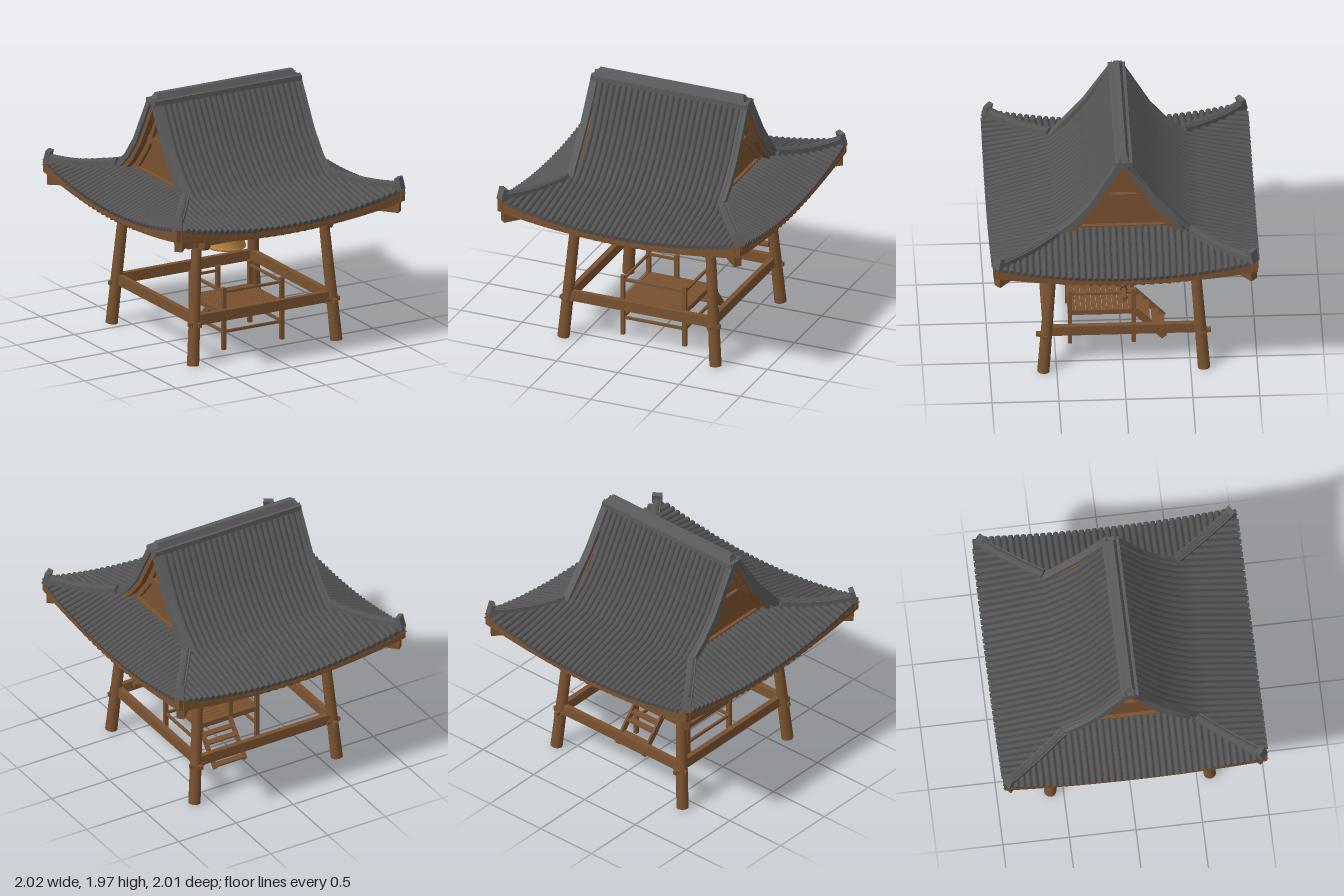
import * as THREE from 'three';
import { mergeGeometries } from 'three/addons/utils/BufferGeometryUtils.js';

const V = (x, y, z) => new THREE.Vector3(x, y, z);
const mat = (color, extra) => new THREE.MeshStandardMaterial({ color, ...extra });
const wood = mat(0x7a5230), woodThin = mat(0x6b4728, { side: THREE.DoubleSide });
const tile = mat(0x555555), tileFlat = mat(0x5c5c5c, { flatShading: true });
const tileThin = mat(0x484848, { side: THREE.DoubleSide });
const bronze = mat(0xc68a48), rope = mat(0x3a3028);

function add(parent, name, geo, material, x = 0, y = 0, z = 0) {
  const m = new THREE.Mesh(geo, material);
  m.name = name;
  m.position.set(x, y, z);
  parent.add(m);
  return m;
}
const box = (p, name, w, h, d, x, y, z, m = wood) => add(p, name, new THREE.BoxGeometry(w, h, d), m, x, y, z);

// Rectangular beam between two points
function beam(p, name, a, b, w, h, m = wood) {
  const o = add(p, name, new THREE.BoxGeometry(w, h, a.distanceTo(b)), m);
  o.position.lerpVectors(a, b, 0.5);
  o.lookAt(b);
}
// Round pole between two points
function pole(p, name, a, b, r0, r1, m = wood, sides = 20) {
  const o = add(p, name, new THREE.CylinderGeometry(r1, r0, a.distanceTo(b), sides), m);
  o.position.lerpVectors(a, b, 0.5);
  o.quaternion.setFromUnitVectors(V(0, 1, 0), b.clone().sub(a).normalize());
}
// Capped sweep of an n-sided section along a path
function sweep(path, side, w, h, n, phase = 0) {
  const pos = [], idx = [], last = path.length - 1;
  const ring = (i) => {
    const t = path[Math.min(i + 1, last)].clone().sub(path[Math.max(i - 1, 0)]).normalize();
    const s = side.clone(), up = t.clone().cross(s);
    if (up.y < 0) { s.negate(); up.negate(); }
    for (let j = 0; j < n; j++) {
      const a = phase + j / n * Math.PI * 2;
      const q = path[i].clone().addScaledVector(s, w * Math.cos(a)).addScaledVector(up, h * Math.sin(a));
      pos.push(q.x, q.y, q.z);
    }
  };
  for (let i = 0; i <= last; i++) ring(i);
  ring(0); ring(last);
  for (let i = 0; i < last; i++) for (let j = 0; j < n; j++) {
    const a = i * n + j, b = i * n + (j + 1) % n;
    idx.push(a, b, b + n, a, b + n, a + n);
  }
  const c0 = (last + 1) * n, c1 = c0 + n;
  for (let j = 1; j < n - 1; j++) idx.push(c0, c0 + j + 1, c0 + j, c1, c1 + j, c1 + j + 1);
  return indexed(pos, idx);
}
// Grid surface from a rule f(u, v)
function sheet(f, nu, nv) {
  const pos = [], idx = [], row = nu + 1;
  for (let j = 0; j <= nv; j++) for (let i = 0; i <= nu; i++) pos.push(...f(i / nu * 2 - 1, j / nv).toArray());
  for (let j = 0; j < nv; j++) for (let i = 0; i < nu; i++) {
    const a = j * row + i;
    idx.push(a, a + row, a + row + 1, a, a + row + 1, a + 1);
  }
  return indexed(pos, idx);
}
function indexed(pos, idx) {
  const g = new THREE.BufferGeometry();
  g.setAttribute('position', new THREE.Float32BufferAttribute(pos, 3));
  g.setIndex(idx);
  g.computeVertexNormals();
  return g;
}

// Roof rules: s is 0 at the foot of the gable roof and 1 at the eave
const GX = 0.63, GZ = 0.5;
const upper = [[0.02, 1.92], [0.05, 1.87], [0.14, 1.71], [0.235, 1.54], [0.36, 1.385], [0.5, 1.265]];
function upperY(z) {
  const i = Math.max(1, upper.findIndex((p) => p[0] >= z));
  const [a, b] = [upper[i - 1], upper[i]];
  return a[1] + (b[1] - a[1]) * (z - a[0]) / (b[0] - a[0]);
}
const lift = (s, u) => 0.13 * s * s * u * u;
const skirtY = (s, u) => 1.265 - 0.16 * s + lift(s, u);
const soffitY = (s, u) => 1.15 - 0.085 * s + lift(s, u);
const hipX = (s) => GX + (1 - GX) * Math.max(s, 0), hipZ = (s) => GZ + (1 - GZ) * Math.max(s, 0);
function frontPoint(x, z) {
  const s = (z - GZ) / (1 - GZ);
  return V(x, s < 0 ? upperY(z) : skirtY(s, x / hipX(s)), z);
}
function sidePoint(x, z) {
  const s = Math.max(0, (x - GX) / (1 - GX));
  return V(x, skirtY(s, z / hipZ(s)), z);
}
const steps = (a, b, n) => Array.from({ length: n + 1 }, (_, i) => a + (b - a) * i / n);

// Half of the roof: front slope and the +x gable end
function roofHalf() {
  const g = new THREE.Group(), ribs = [];
  for (let i = -18.5; i <= 18.5; i++) {
    const c = i * 0.0485, a = Math.abs(c);
    const z0 = GZ + (1 - GZ) * (a - GX) / (1 - GX);
    const zs = a < GX ? [...upper.map((p) => p[0]), ...steps(0.6, 1, 4)] : steps(z0, 1, 5);
    ribs.push(sweep(zs.map((z) => frontPoint(c, z)), V(1, 0, 0), 0.021, 0.021, 8));
    const x0 = a < GZ ? 0.54 : GX + (1 - GX) * (a - GZ) / (1 - GZ);
    ribs.push(sweep(steps(x0, 1, 6).map((x) => sidePoint(x, c)), V(0, 0, 1), 0.021, 0.021, 8));
  }
  add(g, 'roofTileRows', mergeGeometries(ribs), tile);
  const zAt = (v) => 0.02 + 0.97 * v, sAt = (z) => (z - GZ) / (1 - GZ);
  const front = (dy) => sheet((u, v) => {
    const z = zAt(v), p = frontPoint(u * hipX(sAt(z)), z);
    p.y -= dy;
    return p;
  }, 20, 30);
  add(g, 'frontRoofBed', front(0), tileThin);
  add(g, 'frontRoofLining', front(0.03), woodThin);
  add(g, 'sideRoofBed', sheet((u, v) => {
    const x = 0.54 + 0.45 * v;
    return sidePoint(x, -u * hipZ((x - GX) / (1 - GX)));
  }, 20, 12), tileThin);
  // Soffit boards and rafters
  add(g, 'frontSoffit', sheet((u, s) => V(u * hipX(s), soffitY(s, u), hipZ(s) - 0.01), 20, 8), woodThin);
  add(g, 'sideSoffit', sheet((u, s) => V(hipX(s) - 0.01, soffitY(s, u), -u * hipZ(s)), 20, 8), woodThin);
  for (let i = -14; i <= 14; i++) {
    const c = i * 0.065, a = Math.abs(c);
    const s0 = Math.max(0, (a - GX) / (1 - GX)), s1 = Math.max(0, (a - GZ) / (1 - GZ));
    const y = (s, h) => soffitY(s, c / h(s)) - 0.018;
    beam(g, 'frontRafter', V(c, y(s0, hipX), hipZ(s0) - 0.02), V(c, y(0.95, hipX), hipZ(0.95)), 0.028, 0.035);
    beam(g, 'sideRafter', V(hipX(s1) - 0.08, y(s1, hipZ), c), V(hipX(0.95), y(0.95, hipZ), c), 0.028, 0.035);
  }
  // Curved eave boards, deeper toward the corners
  for (const [turn, dz, h, y] of [[0, 0.975, 0.05, 1.08], [0, 0.955, 0.04, 1.055], [1, 0.975, 0.05, 1.08], [1, 0.955, 0.04, 1.055]]) {
    const b = new THREE.BoxGeometry(2 * dz + 0.02, h, 0.025, 28), p = b.attributes.position;
    for (let i = 0; i < p.count; i++) {
      const q = p.getX(i) ** 2;
      p.setY(i, p.getY(i) * (1 + 0.8 * q) + 0.105 * q);
    }
    b.computeVertexNormals();
    b.translate(0, y, dz);
    if (turn) b.rotateY(Math.PI / 2);
    add(g, 'eaveBoard', b, wood);
  }
  // Hip ridges and corner beams
  for (const k of [1, -1]) {
    const at = (s, dy) => V(hipX(s), skirtY(s, 1) + dy, k * hipZ(s));
    const dir = V(GZ * k, 0, GX - 1).normalize();
    add(g, 'hipRidge', sweep(steps(0, 0.9, 8).map((s) => at(s, 0.015)), dir, 0.045, 0.045, 4, Math.PI / 4), tileFlat);
    add(g, 'hipRidgeCap', sweep(steps(0, 0.9, 8).map((s) => at(s, 0.043)), dir, 0.024, 0.016, 8), tile);
    beam(g, 'hipEndTile', at(0.87, 0.035), at(0.93, 0.04), 0.075, 0.1, tileFlat);
    beam(g, 'cornerBeam', V(0.5, 1.11, 0.5 * k), V(0.96, 1.09, 0.96 * k), 0.06, 0.09);
    beam(g, 'cornerBeamTop', V(0.6, 1.15, 0.6 * k), V(0.97, 1.18, 0.97 * k), 0.06, 0.07);
  }
  // Gable: recessed wall, layered barge boards and collar ties
  const line = (d) => upper.map(([z, y]) => [Math.max(0, z - d * 0.8), y - d * 0.6]);
  const outline = (pts) => new THREE.Shape(pts.map(([z, y]) => new THREE.Vector2(-z, y)));
  const mirror = (pts) => pts.map(([z, y]) => [-z, y]).reverse();
  const slab = (name, shape, x, depth, m) => {
    const e = new THREE.ExtrudeGeometry(shape, { depth, bevelEnabled: false });
    e.rotateY(Math.PI / 2);
    add(g, name, e, m, x);
  };
  const wall = line(0.03).map(([z, y]) => [z, Math.max(y, 1.25)]);
  slab('gableWall', outline([...mirror(wall), ...wall]), 0.52, 0.02, wood);
  const band = (name, d0, d1, x, depth, m) => {
    const a = line(d0), b = line(d1);
    for (const f of [1, -1]) slab(name, outline([...a, ...b.reverse()].map(([z, y]) => [z * f, y])), x, depth, m);
  };
  band('gableTileEdge', -0.018, 0.03, 0.585, 0.055, tileFlat);
  band('bargeBoard', 0.028, 0.065, 0.575, 0.045, wood);
  band('innerBargeBoard', 0.06, 0.1, 0.54, 0.025, wood);
  box(g, 'collarTie', 0.035, 0.05, 0.36, 0.55, 1.555, 0);
  box(g, 'gableSill', 0.035, 0.035, 0.86, 0.55, 1.275, 0);
  return g;
}

export function createModel() {
  const model = new THREE.Group();
  model.name = 'bellTower';
  const group = (name) => { const g = new THREE.Group(); g.name = name; model.add(g); return g; };

  // Roof
  const roof = group('roof');
  for (const turn of [0, Math.PI]) {
    const half = roofHalf();
    half.name = 'roofHalf';
    half.rotation.y = turn;
    roof.add(half);
  }
  box(roof, 'ridgeBase', 1.27, 0.04, 0.13, 0, 1.9, 0, tileFlat);
  const cap = new THREE.BoxGeometry(1.22, 0.05, 0.09), cp = cap.attributes.position;
  for (let i = 0; i < cp.count; i++) if (cp.getY(i) > 0) cp.setXYZ(i, cp.getX(i) * 0.965, 0.025, cp.getZ(i) * 0.45);
  add(roof, 'ridgeCap', cap, tileFlat, 0, 1.94, 0);

  // Leaning posts with caps
  const frame = group('frame');
  for (const x of [1, -1]) for (const z of [1, -1]) {
    pole(frame, 'post', V(0.62 * x, 0, 0.6 * z), V(0.54 * x, 1.05, 0.525 * z), 0.046, 0.038);
    box(frame, 'postCap', 0.1, 0.07, 0.1, 0.545 * x, 1.04, 0.53 * z);
    box(frame, 'postBlock', 0.075, 0.075, 0.095, 0.55 * x, 0.945, 0.53 * z);
  }
  // Tie beams, plates, purlins and lower rails on four sides
  const tie = new THREE.ExtrudeGeometry(new THREE.Shape([[-0.64, 0.9], [0.64, 0.9], [0.665, 0.93], [0.67, 0.985], [-0.67, 0.985], [-0.665, 0.93]]
    .map((p) => new THREE.Vector2(...p))), { depth: 0.05, bevelEnabled: false });
  for (let i = 0; i < 4; i++) {
    const side = new THREE.Group();
    side.name = 'frameSide';
    side.rotation.y = i * Math.PI / 2;
    frame.add(side);
    add(side, 'tieBeam', tie, wood, 0, 0, 0.508);
    box(side, 'topPlate', 1.4, 0.032, 0.1, 0, 1.0, 0.533);
    box(side, 'purlin', 1.14, 0.05, 0.05, 0, 1.1, 0.53);
    box(side, 'lowerRail', 1.17, 0.08, 0.04, 0, 0.345, 0.58);
    box(side, 'railTenon', 1.305, 0.03, 0.025, 0, 0.318, 0.585);
    for (const x of [1, -1]) box(side, 'railPeg', 0.025, 0.025, 0.1, 0.597 * x, 0.318, 0.585);
  }
  for (const z of [-0.23, 0.23]) box(frame, 'ropeBeam', 1.06, 0.045, 0.045, 0, 1.085, z);
  box(frame, 'bellBeam', 1.06, 0.06, 0.07, 0, 1.16, 0);

  // Bell
  const bell = group('bell');
  bell.position.x = 0.017;
  const profile = [[0.13, 0.68], [0.135, 0.665], [0.149, 0.665], [0.149, 0.68], [0.143, 0.685], [0.143, 0.735], [0.147, 0.738],
    [0.147, 0.745], [0.143, 0.748], [0.142, 0.81], [0.146, 0.813], [0.146, 0.82], [0.141, 0.823], [0.136, 0.93], [0.127, 1.01],
    [0.105, 1.055], [0.06, 1.085], [0, 1.095]];
  add(bell, 'bellBody', new THREE.LatheGeometry(profile.map((p) => new THREE.Vector2(...p)), 40), mat(0xc68a48, { side: THREE.DoubleSide }));
  for (let i = 0; i < 8; i++) {
    const a = (i + 0.5) * Math.PI / 4;
    const boss = add(bell, 'bellBoss', new THREE.SphereGeometry(0.02, 12, 8), bronze, 0.142 * Math.cos(a), 0.775, 0.142 * Math.sin(a));
    boss.scale.set(0.45, 1.1, 0.8);
    boss.rotation.y = -a;
  }
  add(bell, 'bellLoop', new THREE.TorusGeometry(0.035, 0.01, 8, 20), bronze, 0, 1.11, 0);

  // Striker log on ropes
  const striker = group('striker');
  pole(striker, 'strikerLog', V(0.17, 0.77, 0), V(0.79, 0.77, 0), 0.021, 0.021);
  for (const x of [0.295, 0.665]) {
    pole(striker, 'ropeCollar', V(x - 0.005, 0.77, 0), V(x + 0.005, 0.77, 0), 0.025, 0.025, rope);
    for (const z of [-0.23, 0.23]) pole(striker, 'rope', V(x, 0.785, z * 0.05), V(x, 1.07, z), 0.003, 0.003, rope, 6);
  }

  // Platform with railings
  const platform = group('platform');
  const [L, R, F, B] = [-0.23, 0.275, 0.385, -0.09];
  for (const x of [L, R]) {
    for (const z of [F, B]) box(platform, 'platformPost', 0.03, 0.485, 0.03, x, 0.2425, z);
    for (const [y, h] of [[0.45, 0.018], [0.14, 0.02], [0.28, 0.04]]) box(platform, 'sideRail', 0.018, h, F - B, x, y, (F + B) / 2);
  }
  for (const z of [F, B]) box(platform, 'deckEdge', R - L, 0.04, 0.02, (L + R) / 2, 0.28, z);
  box(platform, 'frontRail', R - L, 0.018, 0.018, (L + R) / 2, 0.45, F);
  box(platform, 'frontBrace', R - L, 0.02, 0.018, (L + R) / 2, 0.14, F);
  box(platform, 'backRail', -L, 0.018, 0.018, L / 2, 0.45, B);
  box(platform, 'gatePost', 0.03, 0.225, 0.03, 0, 0.3725, B);
  for (let i = 0; i < 12; i++) box(platform, 'deckBoard', R - L, 0.018, 0.036, (L + R) / 2, 0.29, B + 0.02 + i * 0.0395);

  // Stairs down the back
  for (const x of [0.008, 0.268]) beam(platform, 'stairStringer', V(x, 0.28, B - 0.005), V(x, 0.03, -0.32), 0.018, 0.05);
  for (const y of [0.05, 0.1, 0.18, 0.23]) box(platform, 'stairTread', 0.26, 0.012, 0.055, 0.138, y, -0.32 + (y - 0.03) * 0.9);
  return model;
}
